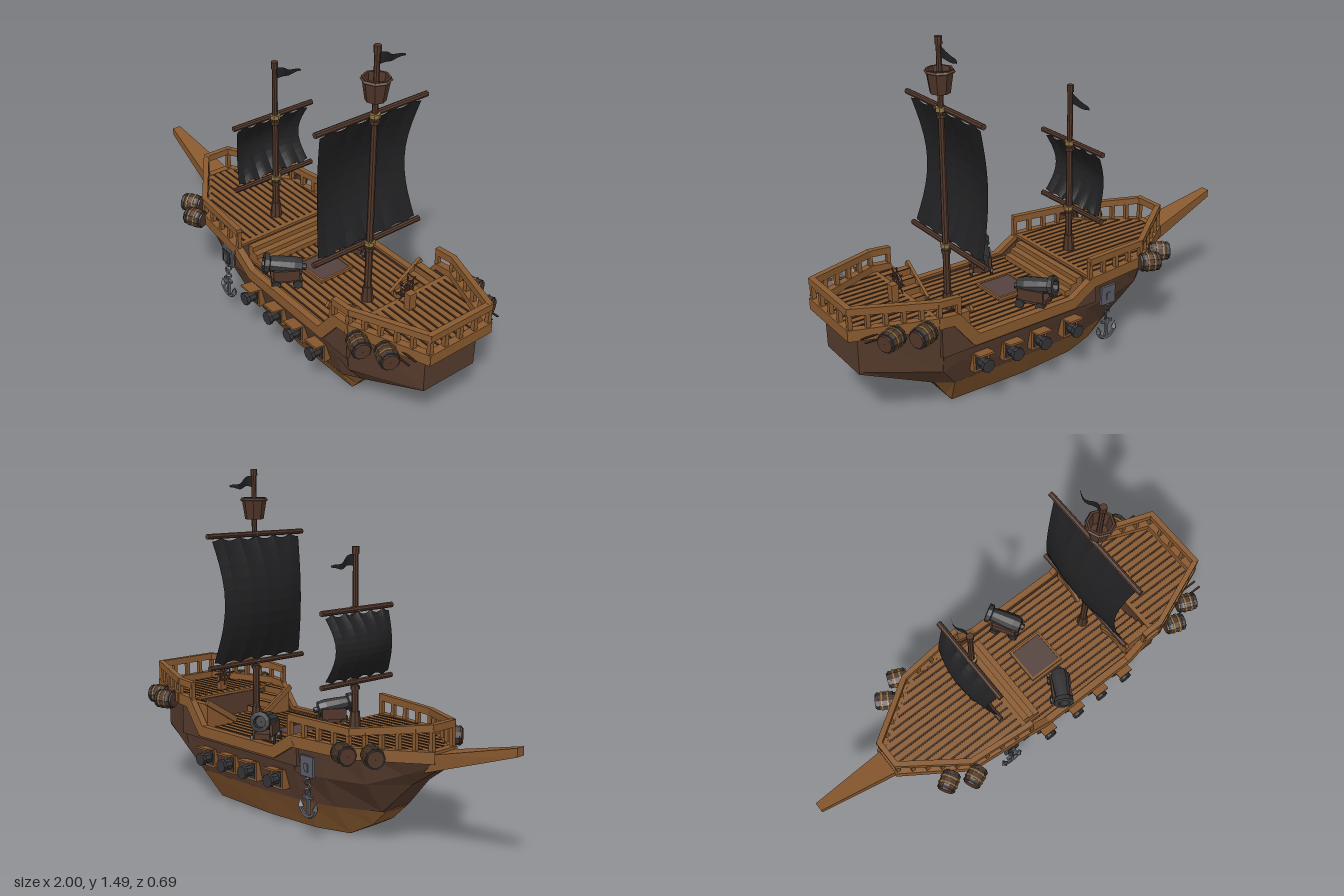
import * as THREE from 'three';

const mat = (name, color, extra = {}) => {
  const m = new THREE.MeshStandardMaterial({ color, flatShading: true, ...extra });
  m.name = name;
  return m;
};

export function createModel() {
  const wood = mat('wood', 0x88592f), hullWood = mat('hull wood', 0x543a2c), mastWood = mat('mast wood', 0x50362a);
  const groove = mat('plank groove', 0x3a2617), cloth = mat('sail cloth', 0x202022, { side: THREE.DoubleSide });
  const iron = mat('iron', 0x343436), steel = mat('anchor steel', 0x5a5b64), rope = mat('rope', 0x8c7440);
  const hatchMat = mat('hatch', 0x54423e);
  const root = new THREE.Group();
  root.name = 'sailingShip';

  const add = (name, geo, m, pos = [0, 0, 0], rot = [0, 0, 0], parent = root) => {
    const mesh = new THREE.Mesh(geo, m);
    mesh.name = name;
    mesh.position.set(...pos);
    mesh.rotation.set(...rot);
    parent.add(mesh);
    return mesh;
  };
  const group = (name, pos = [0, 0, 0], rotY = 0) => {
    const g = new THREE.Group();
    g.name = name;
    g.position.set(...pos);
    g.rotation.y = rotY;
    root.add(g);
    return g;
  };
  const box = (name, size, m, pos, rot, parent) => add(name, new THREE.BoxGeometry(...size), m, pos, rot, parent);
  const cyl = (name, r1, r2, h, m, pos, rot, parent, sides = 8) =>
    add(name, new THREE.CylinderGeometry(r1, r2, h, sides), m, pos, rot, parent);
  // Upright rectangular beam between two points
  const beam = (name, a, b, w, h, m) => {
    const A = new THREE.Vector3(...a), B = new THREE.Vector3(...b);
    const mesh = box(name, [w, h, A.distanceTo(B) + w * 0.6], m, A.clone().lerp(B, 0.5).toArray());
    mesh.lookAt(B);
  };

  // Closed skin through mirrored sections: [x, y, halfWidth, y, halfWidth, ...] from bottom to top
  const loft = (name, stations, m) => {
    const pos = [], idx = [], k = stations[0].length - 1;
    for (const [x, ...p] of stations) {
      for (let i = 0; i < k; i += 2) pos.push(x, p[i], p[i + 1]);
      for (let i = k - 2; i >= 0; i -= 2) pos.push(x, p[i], -p[i + 1]);
    }
    for (let s = 0; s < stations.length - 1; s++) for (let i = 0; i < k; i++) {
      const a = s * k + i, b = s * k + (i + 1) % k;
      idx.push(a, a + k, b, b, a + k, b + k);
    }
    const last = (stations.length - 1) * k;
    for (let i = 1; i < k - 1; i++) idx.push(0, i, i + 1, last, last + i + 1, last + i);
    const g = new THREE.BufferGeometry();
    g.setAttribute('position', new THREE.Float32BufferAttribute(pos, 3));
    g.setIndex(idx);
    const flat = g.toNonIndexed();
    flat.computeVertexNormals();
    return add(name, flat, m);
  };

  // Hull
  loft('upperHull', [
    [-0.65, 0.355, 0.03, 0.375, 0.045, 0.40, 0.06],
    [-0.53, 0.27, 0.05, 0.32, 0.10, 0.415, 0.15],
    [-0.40, 0.135, 0.08, 0.27, 0.18, 0.415, 0.22],
    [-0.22, 0.135, 0.17, 0.27, 0.235, 0.415, 0.255],
    [-0.07, 0.135, 0.21, 0.27, 0.25, 0.415, 0.27],
    [-0.069, 0.135, 0.21, 0.27, 0.25, 0.33, 0.268],
    [0.20, 0.135, 0.225, 0.27, 0.255, 0.33, 0.27],
    [0.58, 0.135, 0.22, 0.25, 0.255, 0.33, 0.27],
    [0.65, 0.14, 0.18, 0.225, 0.25, 0.33, 0.265],
    [0.651, 0.14, 0.18, 0.225, 0.25, 0.44, 0.268],
    [0.95, 0.265, 0.13, 0.275, 0.133, 0.44, 0.135]], hullWood);
  loft('lowerHull', [
    [-0.40, 0.13, 0.06, 0.135, 0.08], [-0.33, 0.06, 0.06, 0.135, 0.115], [-0.22, 0, 0.08, 0.135, 0.17],
    [-0.07, 0, 0.13, 0.135, 0.21], [0.20, 0, 0.15, 0.135, 0.225], [0.55, 0, 0.14, 0.135, 0.221],
    [0.58, 0.04, 0.14, 0.135, 0.22], [0.65, 0.135, 0.16, 0.14, 0.18]], wood);
  loft('bowsprit', [[-1, 0.47, 0.02, 0.505, 0.02], [-0.60, 0.335, 0.06, 0.405, 0.065]], wood);

  // Decks with plank grooves
  const deck = (name, y, pts) => {
    const shape = new THREE.Shape([...pts, ...[...pts].reverse().map(([x, z]) => [x, -z])].map(p => new THREE.Vector2(...p)));
    const g = new THREE.ExtrudeGeometry(shape, { depth: 0.012, bevelEnabled: false });
    add(name, g.rotateX(-Math.PI / 2), wood, [0, y - 0.012, 0]);
    for (let i = -7; i <= 7; i++) {
      const z = i * 0.033, xs = [];
      for (let j = 0; j <= 100; j++) {
        const x = pts[0][0] + (pts[pts.length - 1][0] - pts[0][0]) * j / 100;
        const n = Math.max(1, pts.findIndex(p => p[0] >= x)), [a, b] = [pts[n - 1], pts[n]];
        if (a[1] + (b[1] - a[1]) * (x - a[0]) / (b[0] - a[0]) > Math.abs(z) + 0.01) xs.push(x);
      }
      if (xs.length < 8) continue;
      const x0 = xs[0] + 0.02, x1 = xs[xs.length - 1] - 0.02;
      box(name + 'Groove', [x1 - x0, 0.003, 0.009], groove, [(x0 + x1) / 2, y + 0.001, z]);
    }
  };
  deck('foreDeck', 0.427, [[-0.64, 0.06], [-0.37, 0.24], [-0.065, 0.27]]);
  deck('mainDeck', 0.342, [[-0.065, 0.265], [0.65, 0.265]]);
  deck('sternDeck', 0.455, [[0.645, 0.268], [0.69, 0.265], [0.985, 0.145]]);
  for (let i = 0; i < 3; i++) box('foreStep', [0.03, 0.07 - i * 0.022, 0.44], wood, [-0.05 + i * 0.03, 0.375 - i * 0.011, 0]);
  box('hatch', [0.15, 0.012, 0.15], hatchMat, [0.185, 0.345, 0]);
  for (const s of [-1, 1]) {
    box('hatchFrame', [0.17, 0.018, 0.01], wood, [0.185, 0.346, s * 0.08]);
    box('hatchFrame', [0.01, 0.018, 0.17], wood, [0.185 + s * 0.08, 0.346, 0]);
  }

  // Trim, bulwarks, rails: one side mirrored
  const wall = new THREE.Shape([[-0.1, 0.3], [0.66, 0.3], [0.66, 0.45], [0.59, 0.45], [0.51, 0.35], [0.02, 0.35], [-0.08, 0.41], [-0.1, 0.41]]
    .map(p => new THREE.Vector2(...p)));
  const trim = [[-0.64, 0.405, 0.06], [-0.37, 0.405, 0.243], [-0.08, 0.405, 0.272], [0.03, 0.338, 0.272],
    [0.51, 0.338, 0.272], [0.60, 0.455, 0.272], [0.67, 0.462, 0.272], [0.985, 0.462, 0.15]];
  const foreRail = [[-0.635, 0.52, 0.06], [-0.37, 0.49, 0.243], [-0.065, 0.5, 0.272]];
  const sternRail = [[0.585, 0.533, 0.272], [0.67, 0.54, 0.272], [0.985, 0.56, 0.15]];
  for (const s of [1, -1]) {
    const side = p => [p[0], p[1], p[2] * s];
    const run = (name, path, w, h) => {
      for (let i = 1; i < path.length; i++) beam(name, side(path[i - 1]), side(path[i]), w, h, wood);
    };
    const posts = (path, counts, yBase) => counts.forEach((n, i) => {
      for (let j = 0; j <= n; j++) {
        const p = path[i].map((v, k) => v + (path[i + 1][k] - v) * j / n);
        box('railPost', [0.018, p[1] - yBase, 0.018], wood, [p[0], (p[1] + yBase) / 2, p[2] * s]);
      }
    });
    add('bulwark', new THREE.ExtrudeGeometry(wall, { depth: 0.02, bevelEnabled: false }), hullWood, [0, 0, s * 0.262 - 0.01]);
    run('trim', trim, 0.03, 0.048);
    run('foreRail', foreRail, 0.024, 0.03);
    run('sternRail', sternRail, 0.024, 0.03);
    posts(foreRail, [5, 4], 0.41);
    posts(sternRail, [1, 5], 0.46);

    // Stern stairs rising toward the side
    for (let i = 0; i < 4; i++) {
      const h = 0.027 * (i + 1);
      box('sternStep', [0.13, h, 0.037], wood, [0.58, 0.342 + h / 2, s * (0.115 + i * 0.037)]);
      box('stepGroove', [0.13, 0.003, 0.007], groove, [0.58, 0.343 + h, s * (0.1 + i * 0.037)]);
    }
    beam('stairSide', [0.51, 0.36, s * 0.09], [0.51, 0.46, s * 0.245], 0.014, 0.025, wood);

    // Gun ports
    for (const x of [0.03, 0.195, 0.335, 0.48]) {
      box('portFrame', [0.075, 0.085, 0.04], wood, [x, 0.22, s * 0.245]);
      box('portOpening', [0.056, 0.064, 0.005], iron, [x, 0.22, s * 0.266]);
      cyl('portBarrel', 0.022, 0.025, 0.08, iron, [x, 0.22, s * 0.275], [s * Math.PI / 2, 0, 0]);
      cyl('portMuzzle', 0.029, 0.029, 0.016, iron, [x, 0.22, s * 0.31], [s * Math.PI / 2, 0, 0]);
      box('portLid', [0.07, 0.008, 0.05], wood, [x, 0.265, s * 0.285], [s * -0.15, 0, 0]);
    }

    // Barrels hung outside the rails
    const profile = [[0.001, -0.045], [0.034, -0.045], [0.042, -0.015], [0.042, 0.015], [0.034, 0.045], [0.001, 0.045]];
    const cask = new THREE.LatheGeometry(profile.map(p => new THREE.Vector2(...p)), 10).rotateZ(Math.PI / 2);
    for (const [x, y, z, a] of [[-0.49, 0.412, 0.235, 0.55], [-0.385, 0.412, 0.288, 0.4], [0.755, 0.447, 0.295, -0.35], [0.865, 0.447, 0.25, -0.4]]) {
      const g = group('barrel', [x, y, z * s], a * s);
      add('staves', cask, mastWood, [0, 0, 0], [0, 0, 0], g);
      for (const d of [-0.033, 0.033]) cyl('ironHoop', 0.041, 0.041, 0.01, iron, [d, 0, 0], [0, 0, Math.PI / 2], g, 10);
      for (const d of [-0.014, 0.014]) cyl('ropeHoop', 0.0445, 0.0445, 0.007, rope, [d, 0, 0], [0, 0, Math.PI / 2], g, 10);
    }

    // Anchor on its chain
    const an = group('anchor', [-0.165, 0, s * 0.268]);
    box('anchorPlate', [0.075, 0.085, 0.012], steel, [0, 0.315, -0.004], [0, 0, 0], an);
    box('plateInset', [0.052, 0.06, 0.004], iron, [0, 0.315, s * 0.006 - 0.001], [0, 0, 0], an);
    box('chainBracket', [0.02, 0.035, 0.008], steel, [0, 0.31, s * 0.01], [0, 0, 0], an);
    for (let i = 0; i < 4; i++)
      add('chainLink', new THREE.TorusGeometry(0.012, 0.004, 4, 8), steel, [i % 2 * 0.008 - 0.004, 0.272 - i * 0.021, 0], [0, i % 2, 0], an);
    box('shank', [0.013, 0.1, 0.013], steel, [0, 0.15, 0], [0, 0, 0], an);
    box('stock', [0.056, 0.011, 0.012], steel, [0, 0.185, 0], [0, 0, 0], an);
    add('arms', new THREE.TorusGeometry(0.046, 0.008, 5, 10, Math.PI), steel, [0, 0.15, 0], [0, 0, Math.PI], an);
    for (const d of [-1, 1]) add('fluke', new THREE.ConeGeometry(0.016, 0.035, 4), steel, [d * 0.045, 0.155, 0], [0, 0, d * -0.2], an);

    // Deck cannon, muzzle outward
    const c = group('deckCannon', [0.165, 0.342, s * 0.205], s > 0 ? -0.55 : Math.PI + 0.55);
    const gun = [[0.001, -0.1], [0.014, -0.095], [0.014, -0.08], [0.036, -0.075], [0.04, -0.04], [0.036, 0.02], [0.032, 0.06], [0.044, 0.065], [0.044, 0.085], [0.026, 0.087], [0.024, 0.06], [0.001, 0.06]];
    add('gunBarrel', new THREE.LatheGeometry(gun.map(p => new THREE.Vector2(...p)), 10).rotateX(Math.PI / 2), iron, [0, 0.09, 0], [-0.18, 0, 0], c);
    box('carriage', [0.07, 0.025, 0.13], mastWood, [0, 0.033, -0.01], [0, 0, 0], c);
    for (const d of [-1, 1]) {
      box('cheek', [0.012, 0.05, 0.11], mastWood, [d * 0.038, 0.06, -0.01], [0, 0, 0], c);
      for (const z of [-0.055, 0.035]) cyl('wheel', 0.02, 0.02, 0.012, iron, [d * 0.045, 0.02, z], [0, 0, Math.PI / 2], c);
    }
  }
  beam('sternTrim', [0.985, 0.462, -0.15], [0.985, 0.462, 0.15], 0.03, 0.048, wood);
  beam('sternRail', [0.985, 0.56, -0.15], [0.985, 0.56, 0.15], 0.024, 0.03, wood);
  beam('bowRail', [-0.635, 0.52, -0.06], [-0.635, 0.52, 0.06], 0.024, 0.03, wood);
  beam('bowTrim', [-0.635, 0.405, -0.06], [-0.635, 0.405, 0.06], 0.03, 0.048, wood);
  for (const z of [-0.075, 0, 0.075]) box('railPost', [0.018, 0.1, 0.018], wood, [0.985, 0.51, z]);

  // Helm
  box('helmStand', [0.03, 0.075, 0.035], wood, [0.715, 0.49, 0]);
  add('helmWheel', new THREE.TorusGeometry(0.033, 0.005, 5, 12), mastWood, [0.694, 0.535, 0], [0, Math.PI / 2, 0]);
  for (let i = 0; i < 4; i++) cyl('helmSpoke', 0.0035, 0.0035, 0.115, mastWood, [0.694, 0.535, 0], [i * Math.PI / 4, 0, 0], root, 5);

  // Masts, yards, sails and pennants
  const mast = (name, x, base, top, yards, half, sailHalf, bulge) => {
    cyl(name, 0.011, 0.016, top - base, mastWood, [x, (top + base) / 2, 0]);
    cyl('mastFoot', 0.02, 0.026, 0.07, mastWood, [x, base + 0.035, 0]);
    cyl('mastCap', 0.015, 0.015, 0.03, mastWood, [x, top - 0.015, 0]);
    for (const y of yards) {
      cyl('yard', 0.012, 0.012, half * 2, mastWood, [x - 0.012, y, 0], [Math.PI / 2, 0, 0]);
      cyl('yardLashing', 0.023, 0.023, 0.018, rope, [x, y, 0]);
      cyl('mastCollar', 0.02, 0.02, 0.014, mastWood, [x, y - 0.028, 0]);
    }
    const g = new THREE.PlaneGeometry(1, 1, 30, 10), p = g.attributes.position;
    for (let i = 0; i < p.count; i++) {
      const u = p.getX(i) * 2, v = p.getY(i) + 0.5, belly = Math.sin(Math.PI * v);
      const scallop = 0.014 * Math.abs(Math.sin(u * Math.PI * 2.5)) * (1 - 2 * v);
      p.setXYZ(i, x - 0.014 - bulge * belly * (1 - 0.45 * u * u),
        yards[1] + 0.008 + (yards[0] - yards[1] - 0.016) * v + scallop, u * sailHalf * (1 - 0.11 * belly));
    }
    g.computeVertexNormals();
    add('sail', g, cloth);
    const flag = new THREE.PlaneGeometry(0.125, 1, 8, 1), f = flag.attributes.position;
    for (let i = 0; i < f.count; i++) {
      const t = f.getX(i) / 0.125 + 0.5;
      f.setXYZ(i, x + 0.008 * Math.sin(t * 7), top - 0.055 - t * 0.025 + 0.006 * Math.sin(t * 8) + f.getY(i) * 0.05 * (1 - 0.85 * t), -0.01 - t * 0.125);
    }
    flag.computeVertexNormals();
    add('pennant', flag, cloth);
  };
  mast('foreMast', -0.165, 0.427, 1.18, [0.925, 0.625], 0.205, 0.185, 0.072);
  mast('mainMast', 0.465, 0.342, 1.485, [1.2, 0.625], 0.275, 0.25, 0.085);

  // Lookout basket
  const nest = [[0.001, 1.265], [0.041, 1.265], [0.056, 1.36], [0.046, 1.36], [0.036, 1.285], [0.001, 1.285]];
  add('lookoutBasket', new THREE.LatheGeometry(nest.map(p => new THREE.Vector2(...p)), 8), mastWood, [0.465, 0, 0]);
  add('basketRim', new THREE.TorusGeometry(0.055, 0.007, 4, 8), hullWood, [0.465, 1.35, 0], [Math.PI / 2, 0, 0]);
  return root;
}
